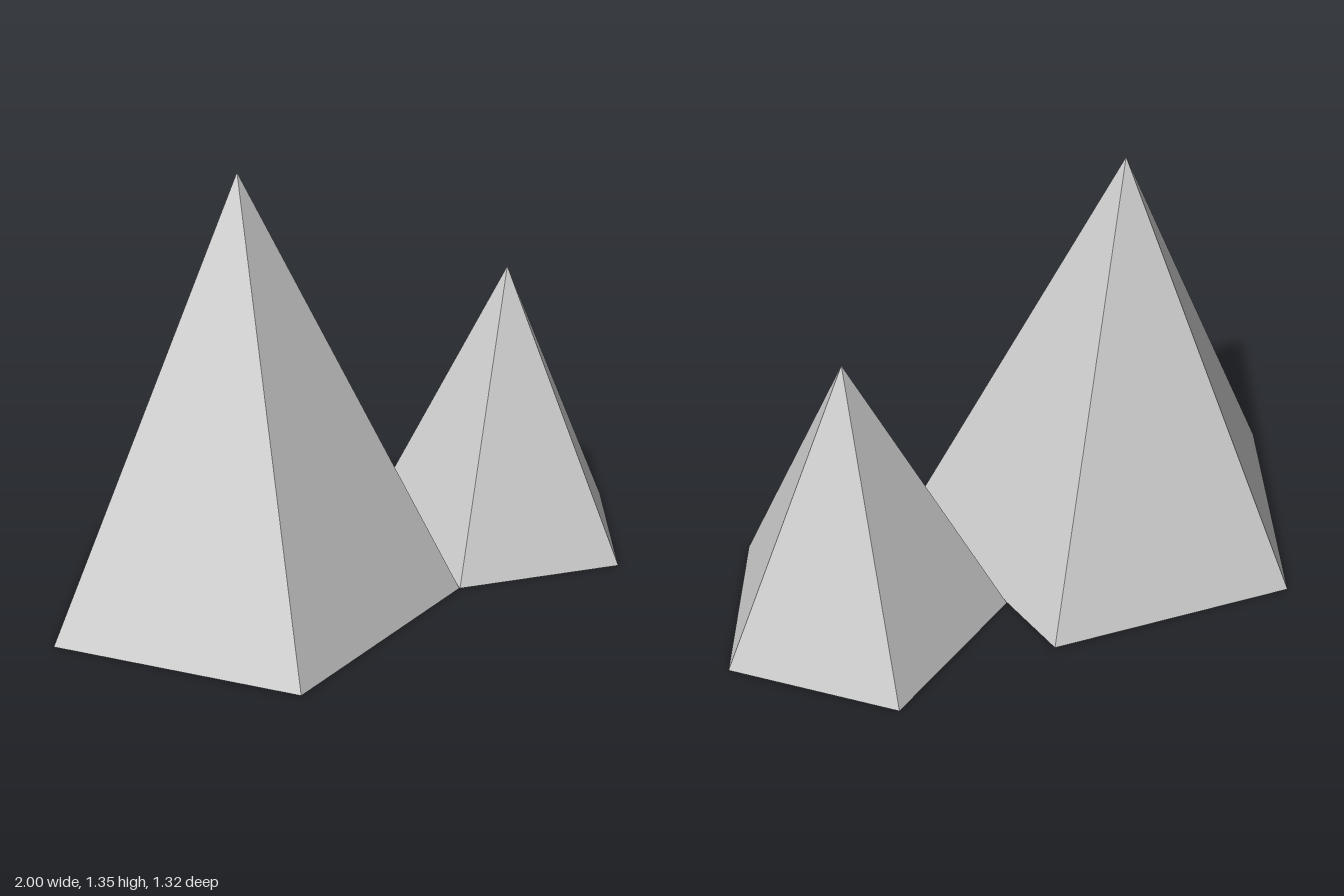
import * as THREE from 'three';

// Five-sided flat-shaded pyramid standing on y = 0
function pyramid(name, radius, height, x, z, turn) {
  const geometry = new THREE.ConeGeometry(radius, height, 5);
  geometry.translate(0, height / 2, 0);
  const material = new THREE.MeshStandardMaterial({ color: 0xcccccc, flatShading: true });
  const mesh = new THREE.Mesh(geometry, material);
  mesh.name = name;
  mesh.position.set(x, 0, z);
  mesh.rotation.y = turn;
  return mesh;
}

export function createModel() {
  const group = new THREE.Group();
  group.name = 'twinPeaks';
  const skew = 0.008;
  // The two bases share one edge line: one points forward, the other back
  group.add(pyramid('tallPeak', 0.673, 1.35, -0.36, -0.017, skew));
  group.add(pyramid('smallPeak', 0.467, 0.935, 0.555, -0.193, Math.PI + skew));
  return group;
}
